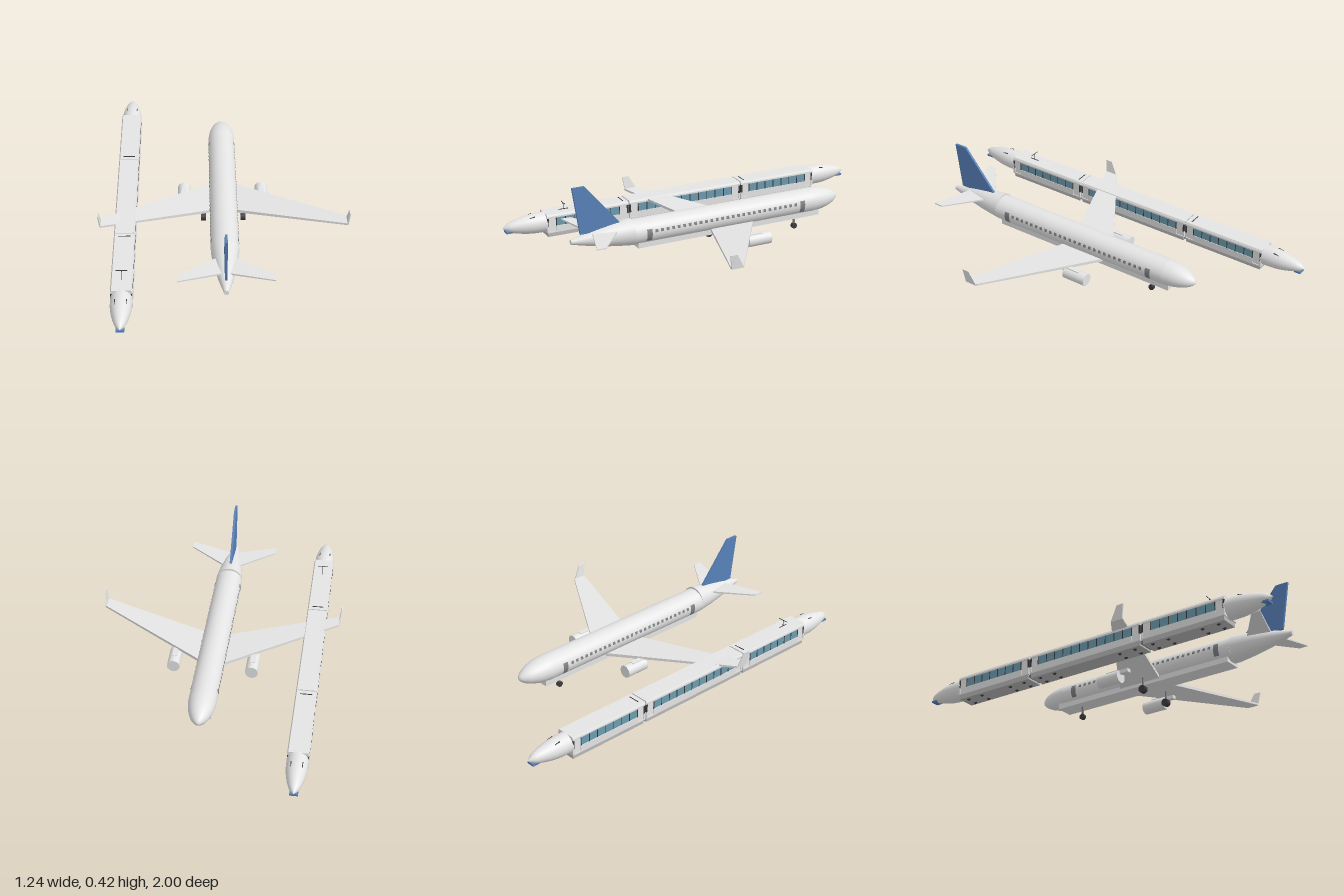
import * as THREE from 'three';

const mat = (name, color) => {
  const m = new THREE.MeshStandardMaterial({ color });
  m.name = name;
  return m;
};

export function createModel() {
  const grey = mat('light grey', 0xe4e4e4);
  const white = mat('white', 0xffffff);
  const blue = mat('blue', 0x5781b8);
  const glass = mat('teal glass', 0x6d9cae);
  const frame = mat('underframe grey', 0xb8b8b8);
  const mid = mat('mid grey', 0x808284);
  const dark = mat('dark grey', 0x3c3c3e);

  const model = new THREE.Group();
  const plane = new THREE.Group();
  plane.name = 'airliner';
  const train = new THREE.Group();
  train.name = 'train';
  train.position.x = -0.485;
  model.add(plane, train);

  const add = (parent, name, geo, material, x = 0, y = 0, z = 0) => {
    const m = new THREE.Mesh(geo, material);
    m.name = name;
    m.position.set(x, y, z);
    parent.add(m);
    return m;
  };
  // Box given by half width, height range and length range
  const block = (parent, name, material, hw, y0, y1, z0, z1, x = 0) =>
    add(parent, name, new THREE.BoxGeometry(2 * hw, y1 - y0, z1 - z0), material, x, (y0 + y1) / 2, (z0 + z1) / 2);
  // Solid of revolution along z from [radius, z] pairs
  const revolve = pts =>
    new THREE.LatheGeometry(new THREE.SplineCurve(pts.map(p => new THREE.Vector2(...p))).getPoints(24)
      .map(p => new THREE.Vector2(Math.max(p.x, 0), p.y)), 40).rotateX(Math.PI / 2);
  // Tapered slab between two sections [x, y, zFront, zBack, thickness]
  const slab = (a, b, upright) => {
    const k = upright ? 1 : 0;
    if (a[k] > b[k]) [a, b] = [b, a];
    const g = new THREE.BoxGeometry(1, 1, 1);
    const p = g.attributes.position;
    for (let i = 0; i < p.count; i++) {
      const c = [p.getX(i), p.getY(i), p.getZ(i)];
      const s = c[k] > 0 ? b : a;
      const t = c[1 - k] * s[4];
      p.setXYZ(i, s[0] + (upright ? t : 0), s[1] + (upright ? 0 : t), c[2] < 0 ? s[2] : s[3]);
    }
    g.computeVertexNormals();
    return g;
  };
  const wheel = (r, w) => new THREE.CylinderGeometry(r, r, w, 20).rotateZ(Math.PI / 2);

  // ---- Airliner fuselage: slightly flattened tube, round tail cone ----
  const R = 0.068, FLAT = 0.92, CY = 0.144, TAIL_Y = 0.148;
  add(plane, 'fuselage', new THREE.CylinderGeometry(R, R, 1.01, 40, 1, true).rotateX(Math.PI / 2).scale(1, FLAT, 1), grey, 0, CY, 0.005);
  add(plane, 'nose', revolve([[0, -0.66], [0.018, -0.65], [0.042, -0.615], [0.06, -0.56], [R, -0.5]]).scale(1, FLAT, 1), grey, 0, CY, 0);
  add(plane, 'tailCone', revolve([[R, 0.51], [0.055, 0.615], [0.036, 0.72], [0.012, 0.82]]), grey, 0, TAIL_Y, 0);
  add(plane, 'tailStep', new THREE.CircleGeometry(R, 40).rotateY(Math.PI), grey, 0, TAIL_Y, 0.51);
  add(plane, 'tailTip', new THREE.CylinderGeometry(0.012, 0.012, 0.012, 20).rotateX(Math.PI / 2), grey, 0, TAIL_Y, 0.818);
  block(plane, 'belly', grey, 0.045, 0.07, 0.12, -0.53, 0.49);
  add(plane, 'tailFin', slab([0, 0.18, 0.545, 0.775, 0.012], [0, 0.42, 0.745, 0.81, 0.012], true), blue);

  for (const s of [1, -1]) {
    // Wings and tailplanes
    add(plane, 'wing', slab([s * 0.03, 0.094, -0.154, 0.088, 0.016], [s * 0.608, 0.132, 0.208, 0.275, 0.01]), grey);
    add(plane, 'winglet', slab([s * 0.606, 0.127, 0.208, 0.272, 0.007], [s * 0.615, 0.2, 0.247, 0.283, 0.005], true), grey);
    add(plane, 'tailplane', slab([s * 0.01, 0.174, 0.575, 0.715, 0.01], [s * 0.227, 0.182, 0.735, 0.782, 0.006]), grey);

    // Engines
    add(plane, 'engine', new THREE.CylinderGeometry(0.032, 0.032, 0.125, 32).rotateX(Math.PI / 2), grey, s * 0.197, 0.068, -0.092);
    block(plane, 'enginePylon', grey, 0.012, 0.08, 0.102, -0.11, 0.02, s * 0.197);

    // Main landing gear
    add(plane, 'mainWheel', wheel(0.019, 0.026), dark, s * 0.1, 0.019, 0.035);
    block(plane, 'mainStrut', mid, 0.004, 0.02, 0.08, 0.031, 0.039, s * 0.1);

    // Curved cabin windows and doors
    const panel = (name, y0, y1, z, w) => {
      const a0 = Math.asin((y0 - CY) / R / FLAT), a1 = Math.asin((y1 - CY) / R / FLAT);
      const start = s > 0 ? Math.PI / 2 - a1 : Math.PI * 1.5 + a0;
      const g = new THREE.CylinderGeometry(R + 0.0012, R + 0.0012, w, 8, 1, true, start, a1 - a0);
      add(plane, name, g.rotateX(-Math.PI / 2).scale(1, FLAT, 1), mid, 0, CY, z);
    };
    for (let i = 0; i < 27; i++) panel('cabinWindow', 0.148, 0.163, 0.4 - i * 0.03, 0.015);
    for (const z of [0.437, -0.422]) panel('cabinDoor', 0.108, 0.168, z, 0.028);
  }
  add(plane, 'noseWheel', wheel(0.015, 0.016), dark, 0, 0.015, -0.41);
  block(plane, 'noseStrut', mid, 0.005, 0.015, 0.08, -0.414, -0.406);

  // ---- Train cars ----
  const roofShape = new THREE.Shape([[-0.0515, 0.112], [0.0515, 0.112], [0.0515, 0.12], [0.046, 0.131], [-0.046, 0.131], [-0.0515, 0.12]]
    .map(p => new THREE.Vector2(...p)));
  const car = (z0, z1) => {
    const g = new THREE.Group();
    g.name = 'car';
    train.add(g);
    const len = z1 - z0;
    const inset = 0.047;
    block(g, 'sill', grey, 0.0515, 0.033, 0.04, z0, z1);
    block(g, 'sidePanel', grey, 0.0515, 0.04, 0.068, z0 + inset, z1 - inset);
    block(g, 'underframe', frame, 0.045, 0.011, 0.033, z0 + 0.005, z1 - 0.005);
    block(g, 'windowBand', glass, 0.049, 0.068, 0.112, z0 + inset, z1 - inset);
    add(g, 'roof', new THREE.ExtrudeGeometry(roofShape, { depth: len, bevelEnabled: false }), grey, 0, 0, z0);
    // Recessed doors, with a dark jamb at each car end
    for (const [end, e] of [[z0, 1], [z1, -1]]) {
      const range = (a, b) => [end + e * a, end + e * b].sort((p, q) => p - q);
      block(g, 'doors', white, 0.048, 0.04, 0.112, ...range(0.009, inset));
      block(g, 'endPanel', grey, 0.0515, 0.04, 0.068, ...range(0, 0.009));
      block(g, 'doorJamb', dark, 0.0505, 0.068, 0.112, ...range(0.001, 0.009));
    }
    const n = Math.round((len - 0.1) / 0.05);
    for (const s of [1, -1]) {
      // Window posts
      for (let i = 0; i <= n; i++) {
        const z = z0 + 0.05 + (len - 0.1) * i / n;
        block(g, 'windowPost', dark, 0.0012, 0.068, 0.112, z - 0.002, z + 0.002, s * 0.0495);
      }
      // Wheels
      for (const e of [z0 + 0.09, z1 - 0.09]) for (const d of [-0.043, 0.043])
        add(g, 'trainWheel', wheel(0.009, 0.008), dark, s * 0.025, 0.013, e + d);
    }
  };
  car(-0.778, -0.332);
  car(-0.326, 0.323);
  car(0.329, 0.778);
  block(train, 'gangway', mid, 0.04, 0.02, 0.125, -0.34, 0.34);
  for (const z of [0.352, -0.358]) block(train, 'roofRib', dark, 0.03, 0.13, 0.133, z - 0.002, z + 0.002);

  // Streamlined train noses
  for (const s of [1, -1]) {
    const end = new THREE.Group();
    end.name = 'trainNose';
    if (s < 0) end.rotation.y = Math.PI;
    train.add(end);
    add(end, 'noseShell', revolve([[0.052, 0.772], [0.0505, 0.84], [0.042, 0.9], [0.024, 0.965], [0, 1]]), grey, 0, 0.081, 0);
    block(end, 'bumper', blue, 0.02, 0.055, 0.064, 0.95, 0.985);
    for (const x of [0.027, -0.027])
      add(end, 'cabWindow', new THREE.BoxGeometry(0.004, 0.008, 0.03), dark, x, 0.12, 0.848).rotation.x = 0.2;
  }

  // Pantograph
  block(train, 'pantographMast', dark, 0.0012, 0.128, 0.167, 0.6688, 0.6712);
  block(train, 'pantographBar', dark, 0.027, 0.165, 0.167, 0.6688, 0.6712);
  block(train, 'pantographArm', dark, 0.0012, 0.131, 0.134, 0.645, 0.695);

  return model;
}
